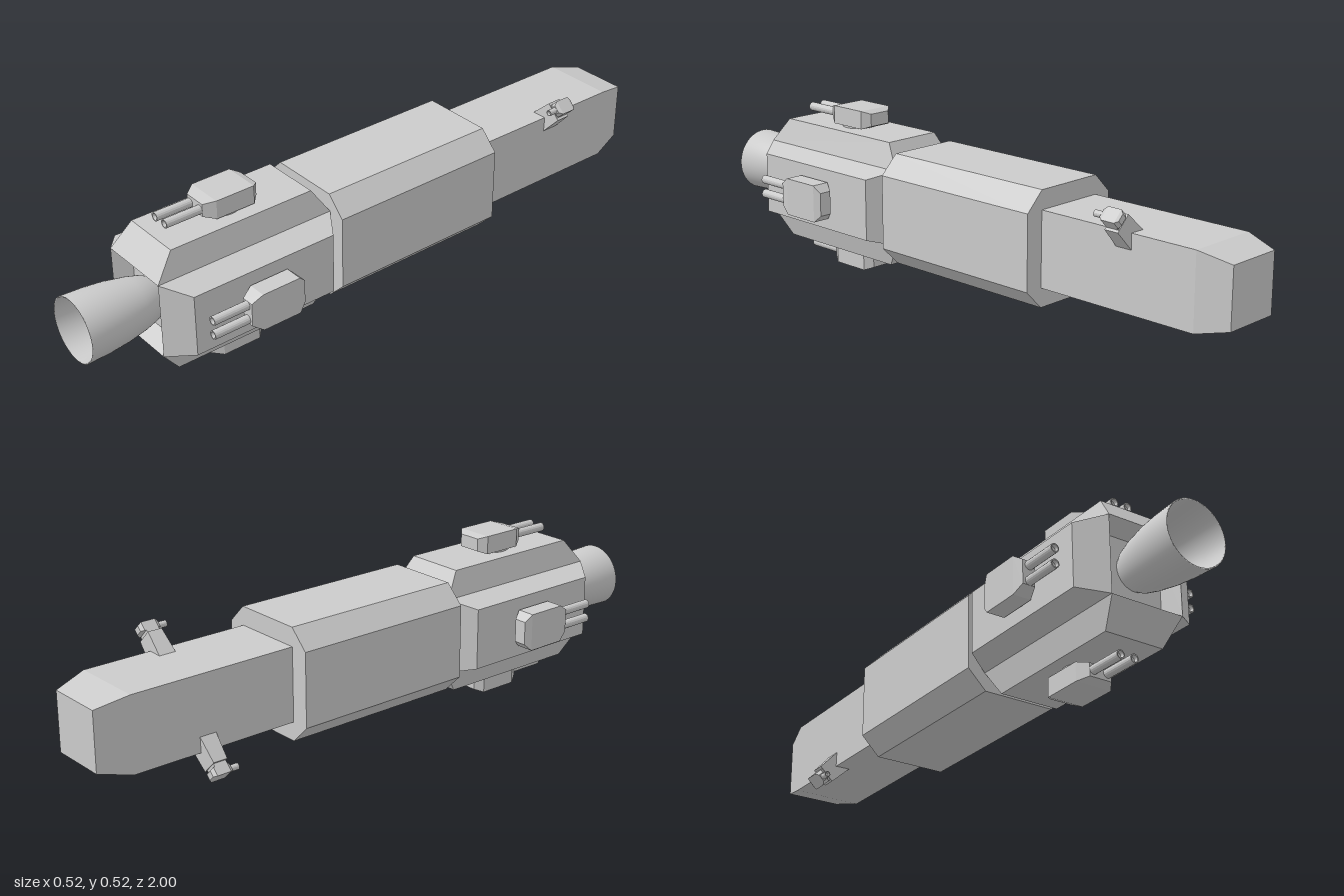
import * as THREE from 'three';

const AXIS_Y = 0.258;
const flat = new THREE.MeshStandardMaterial({ color: 0xcccccc, flatShading: true });
const smooth = new THREE.MeshStandardMaterial({ color: 0xcccccc, side: THREE.DoubleSide });

// Rectangle section, half width w, from y0 to y1
const rect = (w, y0, y1) => [[w, y0], [w, y1], [-w, y1], [-w, y0]];
const square = (w) => rect(w, -w, w);

// Square with cut corners: half size a, half length of the flat b
const octagon = (a, b) => [[a, -b], [a, b], [b, a], [-b, a], [-a, b], [-a, -b], [-b, -a], [b, -a]];

// Capped solid through [z, section] pairs
function loft(sections) {
  const pos = [];
  const tri = (...pts) => pts.forEach((p) => pos.push(...p));
  const rings = sections.map(([z, pts]) => pts.map(([x, y]) => [x, y, z]));
  const n = rings[0].length;
  for (let r = 0; r < rings.length - 1; r++) {
    const a = rings[r], b = rings[r + 1];
    for (let i = 0; i < n; i++) {
      const j = (i + 1) % n;
      tri(a[i], a[j], b[j]);
      tri(a[i], b[j], b[i]);
    }
  }
  const first = rings[0], last = rings[rings.length - 1];
  for (let i = 1; i < n - 1; i++) {
    tri(first[0], first[i + 1], first[i]);
    tri(last[0], last[i], last[i + 1]);
  }
  const g = new THREE.BufferGeometry();
  g.setAttribute('position', new THREE.Float32BufferAttribute(pos, 3));
  g.computeVertexNormals();
  return g;
}

function add(parent, name, geometry, material = flat) {
  const mesh = new THREE.Mesh(geometry, material);
  mesh.name = name;
  parent.add(mesh);
  return mesh;
}

// Hollow barrel pointing along +z
function barrel(parent, x, y, z0, z1, r) {
  const pts = [[r, z0], [r, z1], [r * 0.75, z1], [r * 0.6, z1 - r * 0.8], [0, z1 - r * 1.2]];
  const g = new THREE.LatheGeometry(pts.map((p) => new THREE.Vector2(...p)), 16);
  g.rotateX(Math.PI / 2).translate(x, y, 0);
  const mat = smooth.clone();
  mat.flatShading = true;
  add(parent, 'barrel', g, mat);
}

// Tapered gun housing: half width w, radial range y0..y1, bevel b
function housing(w, y0, y1, z0, z1, b) {
  const small = rect(w - b * 2, y0 + b * 0.8, y1 - b * 0.8);
  const full = rect(w, y0, y1);
  const bevel = (z1 - z0) * 0.18;
  return loft([[z0, small], [z0 + bevel * 0.7, full], [z1 - bevel, full], [z1, small]]);
}

// Sloped armour pod on one side of the rear hull
function armourPod() {
  return loft([[0.117, rect(0.117, -0.8, -0.22)], [0.194, rect(0.095, -0.74, -0.27)]])
    .rotateX(-Math.PI / 2);
}

export function createModel() {
  const model = new THREE.Group();
  model.name = 'spaceship';
  const ship = new THREE.Group();
  ship.name = 'ship';
  ship.position.y = AXIS_Y;
  model.add(ship);

  // Hull: tapered bow, octagonal middle, rear core with recessed engine bay
  add(ship, 'bow', loft([[-1, square(0.09)], [-0.9, square(0.114)], [-0.36, square(0.114)]]));
  add(ship, 'midHull', loft([[-0.37, octagon(0.172, 0.114)], [0.22, octagon(0.172, 0.114)]]));
  add(ship, 'rearCore', loft([
    [0.215, square(0.117)], [0.8, square(0.117)], [0.75, square(0.088)],
  ]));

  // Engine bell, outside then inside
  const bell = [
    [0.05, 0.735], [0.068, 0.77], [0.079, 0.81], [0.09, 0.87], [0.096, 0.93], [0.099, 1],
    [0.095, 1], [0.092, 0.93], [0.086, 0.87], [0.075, 0.81], [0.055, 0.775], [0.03, 0.758], [0, 0.753],
  ];
  const nozzle = new THREE.LatheGeometry(bell.map((p) => new THREE.Vector2(...p)), 48);
  add(ship, 'engineNozzle', nozzle.rotateX(Math.PI / 2), smooth);

  // Four armour pods, each with a twin turret
  for (let i = 0; i < 4; i++) {
    const side = new THREE.Group();
    side.name = 'turretSide';
    side.rotation.z = i * Math.PI / 2;
    ship.add(side);
    add(side, 'armourPod', armourPod());
    const pad = new THREE.CylinderGeometry(0.053, 0.053, 0.014, 24);
    add(side, 'turretPad', pad.translate(0, 0.198, 0.51));
    add(side, 'turretHousing', housing(0.058, 0.201, 0.258, 0.415, 0.595, 0.011));
    for (const x of [-0.023, 0.023]) barrel(side, x, 0.228, 0.58, 0.71, 0.0135);
  }

  // Two small guns on opposite bow edges
  for (const angle of [-Math.PI / 4, Math.PI * 3 / 4]) {
    const gun = new THREE.Group();
    gun.name = 'bowGun';
    gun.rotation.z = angle;
    ship.add(gun);
    const mount = loft([
      [0.11, rect(0.034, 0.635, 0.69)], [0.207, rect(0.03, 0.64, 0.685)],
      [0.207, rect(0.022, 0.642, 0.682)], [0.219, rect(0.022, 0.642, 0.682)],
    ]);
    add(gun, 'gunMount', mount.rotateX(-Math.PI / 2));
    add(gun, 'gunHousing', housing(0.022, 0.216, 0.243, -0.695, -0.63, 0.005));
    barrel(gun, 0, 0.229, -0.64, -0.603, 0.0095);
  }

  return model;
}
